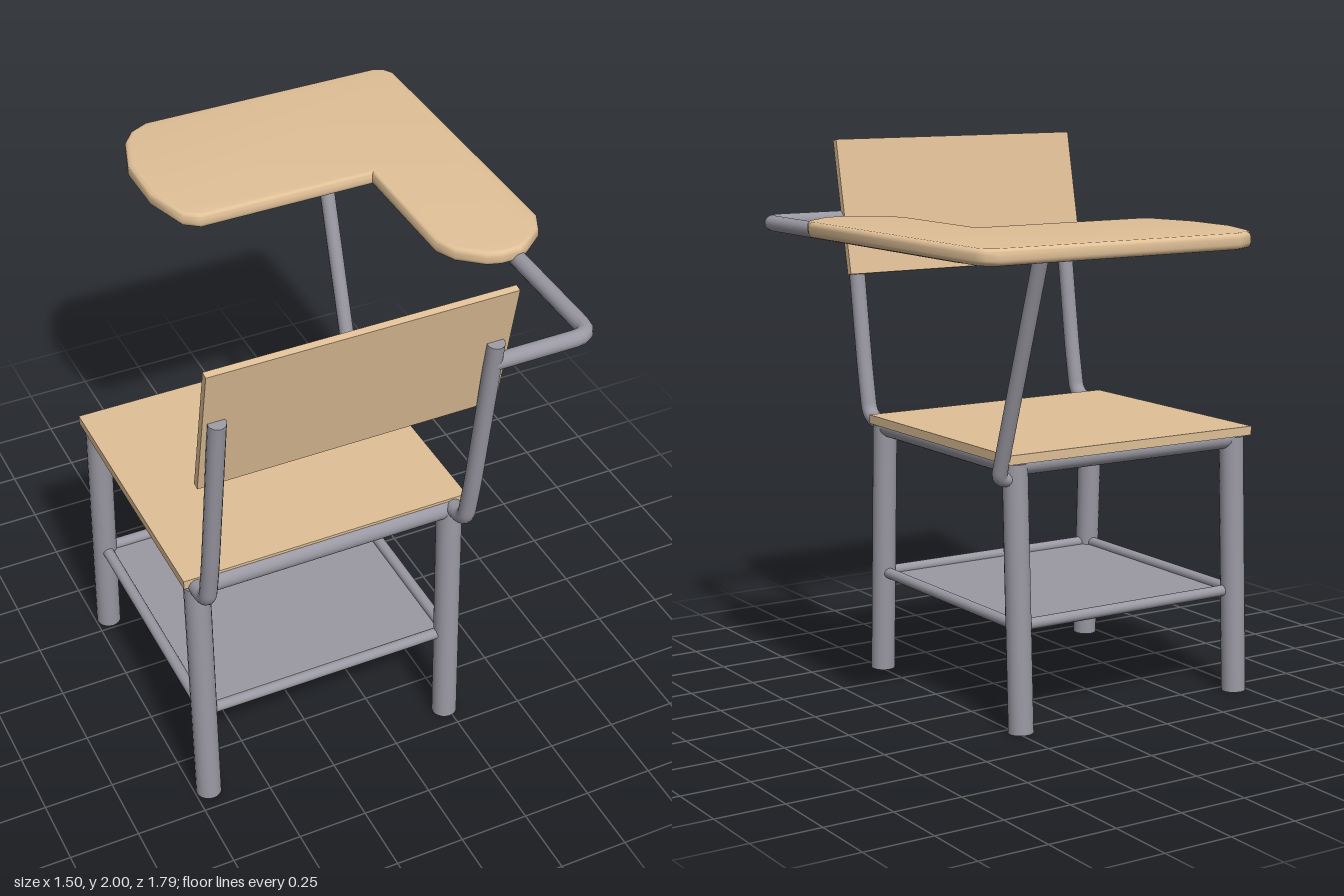
import * as THREE from 'three';
import { toCreasedNormals } from 'three/addons/utils/BufferGeometryUtils.js';

const metal = new THREE.MeshStandardMaterial({ color: 0x9a98a2 });
const wood = new THREE.MeshStandardMaterial({ color: 0xe0c097 });
const V = (x, y, z) => new THREE.Vector3(x, y, z);

export function createModel() {
  const model = new THREE.Group();

  function add(name, geometry, material) {
    const mesh = new THREE.Mesh(geometry, material);
    mesh.name = name;
    model.add(mesh);
    return mesh;
  }

  // Straight round bar between two points
  function bar(name, a, b, radius) {
    const mesh = add(name, new THREE.CylinderGeometry(radius, radius, a.distanceTo(b), 20), metal);
    mesh.position.copy(a).add(b).multiplyScalar(0.5);
    mesh.quaternion.setFromUnitVectors(V(0, 1, 0), b.clone().sub(a).normalize());
  }

  // Bent round tube with rounded corners and closed ends
  function bentTube(name, points, radius, bend) {
    const path = new THREE.CurvePath();
    let from = points[0];
    for (let i = 1; i < points.length - 1; i++) {
      const p = points[i];
      const start = p.clone().add(points[i - 1].clone().sub(p).setLength(bend));
      const end = p.clone().add(points[i + 1].clone().sub(p).setLength(bend));
      path.add(new THREE.LineCurve3(from, start));
      path.add(new THREE.QuadraticBezierCurve3(start, p, end));
      from = end;
    }
    path.add(new THREE.LineCurve3(from, points[points.length - 1]));
    add(name, new THREE.TubeGeometry(path, 100, radius, 16), metal);
    for (const t of [0, 1]) {
      const cap = add(name + 'Cap', new THREE.CircleGeometry(radius, 16), metal);
      cap.position.copy(path.getPointAt(t));
      const out = path.getTangentAt(t).multiplyScalar(t ? 1 : -1);
      cap.quaternion.setFromUnitVectors(V(0, 0, 1), out);
    }
  }

  const xs = [-0.7, 0.237];
  const corners = { top: [0.63, -0.268], low: [0.65, -0.285], foot: [0.667, -0.305] };

  // Legs, and the side rails of the seat frame and lower shelf
  for (const x of xs) {
    for (let i = 0; i < 2; i++) {
      bar('leg', V(x, 0.001, corners.foot[i]), V(x, 0.95, corners.top[i]), 0.045);
    }
    bar('seatSideRail', V(x, 0.945, corners.top[0]), V(x, 0.945, corners.top[1]), 0.038);
    bar('shelfSideRail', V(x, 0.38, corners.low[0]), V(x, 0.38, corners.low[1]), 0.02);
  }

  // Cross rails
  for (let i = 0; i < 2; i++) {
    bar('seatCrossRail', V(xs[0], 0.945, corners.top[i]), V(xs[1], 0.945, corners.top[i]), 0.038);
    bar('shelfCrossRail', V(xs[0], 0.38, corners.low[i]), V(xs[1], 0.38, corners.low[i]), 0.02);
  }

  // Book shelf under the seat
  add('bookShelf', new THREE.BoxGeometry(0.95, 0.012, 0.95), metal)
    .position.set(-0.231, 0.367, 0.182);

  // Seat board
  add('seat', new THREE.BoxGeometry(1.045, 0.033, 0.966), wood)
    .position.set(-0.228, 0.973, 0.162);

  // Backrest posts
  for (const x of [-0.705, 0.242]) {
    bentTube('backPost', [V(x, 0.95, 0.62), V(x, 0.965, 0.735), V(x, 1.15, 0.77), V(x, 1.79, 0.863)], 0.03, 0.05);
  }

  // Leaning backrest board
  const backrest = add('backrest', new THREE.BoxGeometry(1.045, 0.507, 0.025), wood);
  backrest.position.set(-0.228, 1.75, 0.836);
  backrest.rotation.x = Math.atan2(0.102, 0.5);

  // Arm tube running from the post round to the underside of the writing board
  bentTube('armTube', [
    V(0.242, 1.707, 0.853), V(0.597, 1.707, 0.853), V(0.597, 1.707, -0.545), V(0.02, 1.707, -0.545),
  ], 0.029, 0.06);

  // Strut from the leg to the arm tube
  bentTube('armStrut', [
    V(0.237, 0.9, -0.275), V(0.308, 0.9, -0.275), V(0.31, 1.7, -0.545),
  ], 0.027, 0.03);

  // L-shaped writing board with rounded edges
  const outline = [
    [0.75, -0.84], [0.73, -0.875], [0.69, -0.895], [-0.23, -0.895], [-0.3, -0.86], [-0.345, -0.8],
    [-0.395, -0.645], [-0.395, -0.44], [-0.345, -0.275], [-0.29, -0.235], [0.36, -0.235], [0.36, 0.235],
    [0.395, 0.31], [0.48, 0.38], [0.53, 0.395], [0.6, 0.395], [0.635, 0.375], [0.715, 0.31], [0.75, 0.235],
  ];
  const shape = new THREE.Shape(outline.map(([x, z]) => new THREE.Vector2(x, -z)));
  const board = new THREE.ExtrudeGeometry(shape, {
    depth: 0.018, bevelThickness: 0.018, bevelSize: 0.018, bevelOffset: -0.018, bevelSegments: 4,
  });
  board.rotateX(-Math.PI / 2);
  board.translate(0, 1.725, 0);
  add('writingBoard', toCreasedNormals(board, 0.7), wood);

  return model;
}
